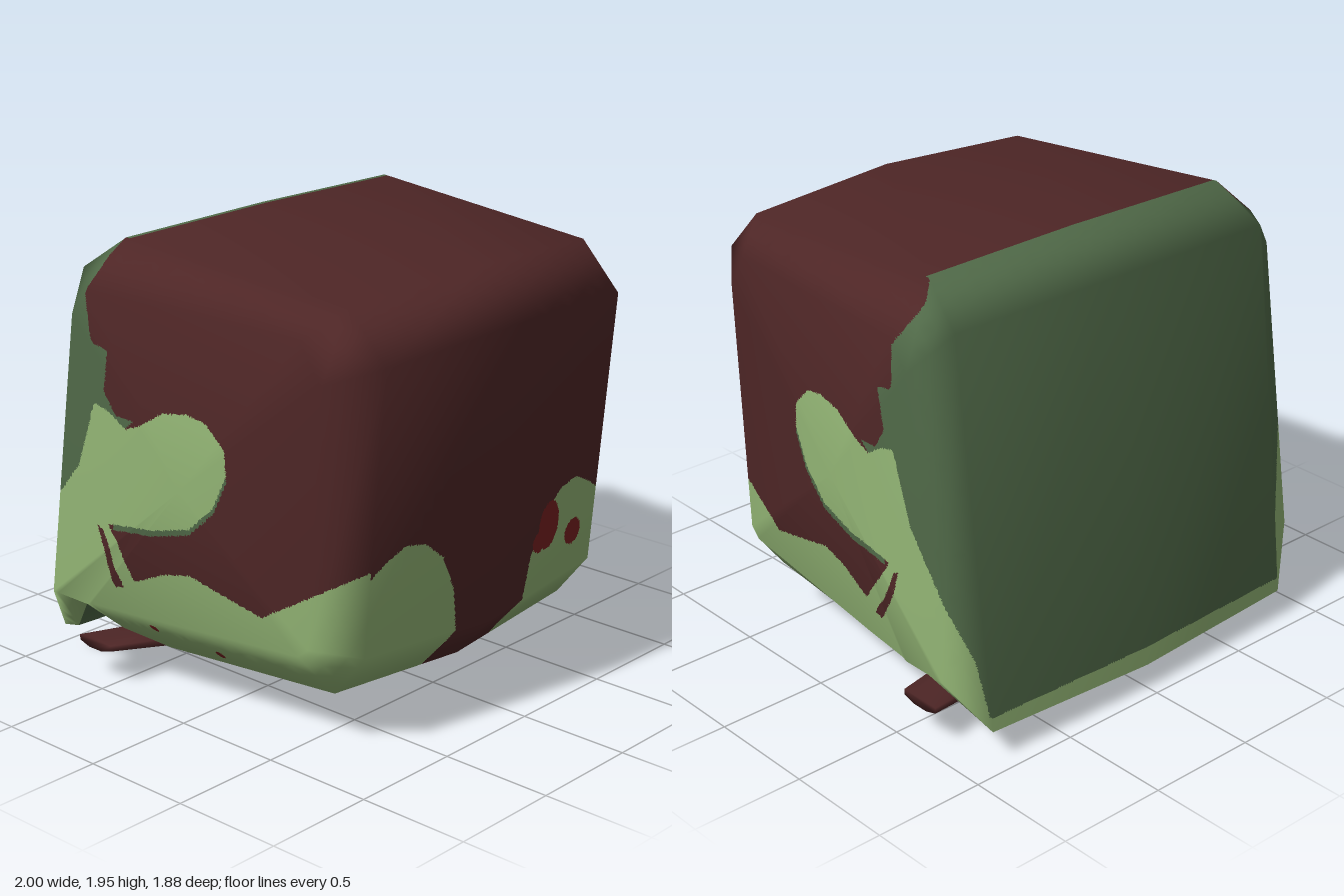
import * as THREE from 'three';

const mat = (name, color) => {
  const m = new THREE.MeshStandardMaterial({ color, side: THREE.DoubleSide });
  m.name = name;
  return m;
};

// Head outline around the x axis. Each row: centre z, y | shoulder z, y, x | side panel z, y
const OUTLINE = [
  [0.82, 0.40, 0.76, 0.44, 0.73, 0.60, 0.48],
  [0.94, 1.70, 0.87, 1.66, 0.73, 0.67, 1.58],
  [0.72, 1.89, 0.68, 1.86, 0.73, 0.57, 1.74],
  [-0.49, 1.96, -0.49, 1.95, 0.79, -0.50, 1.77],
  [-0.72, 1.81, -0.70, 1.80, 0.84, -0.60, 1.65],
  [-0.94, 0.12, -0.91, 0.14, 0.84, -0.79, 0.38],
  [-0.83, 0.12, -0.82, 0.16, 0.84, -0.76, 0.38],
  [-0.72, 0.35, -0.72, 0.36, 0.84, -0.71, 0.38],
  [-0.57, 0.36, -0.57, 0.36, 0.84, -0.57, 0.38],
  [-0.55, 0.20, -0.55, 0.22, 0.82, -0.55, 0.39],
  [-0.30, 0.13, -0.30, 0.19, 0.78, -0.30, 0.40],
  [0.63, 0.19, 0.60, 0.24, 0.73, 0.55, 0.44],
];
const ZONES = ['front', 'front', 'top', 'top', 'back', 'edge', 'roof', 'roof', 'lipWall', 'bottom', 'bottom', 'front'];

// Painted regions of the side, as z, y outlines
const SIDE_SKIN = [
  [-0.45, 0.77], [-0.2, 0.8], [0, 0.85], [0.13, 0.97], [0.2, 1.12], [0.19, 1.23], [0.1, 1.32], [0, 1.34],
  [-0.12, 1.32], [-0.25, 1.24], [-0.33, 1.21], [-0.42, 1.27], [-0.5, 1.29], [-0.6, 1.0], [-0.72, 0.85],
  [-1.2, 0.85], [-1.2, 0], [1.2, 0], [1.2, 0.85], [0.82, 0.83], [0.37, 0.56], [0.2, 0.6], [0, 0.65], [-0.14, 0.62], [-0.3, 0.55],
];
const SIDE_BACK = [
  [-0.47, 2], [-0.53, 1.88], [-0.5, 1.55], [-0.41, 1.53], [-0.44, 1.35], [-0.38, 1.26], [-0.28, 1.25], [-0.33, 1.21],
  [-0.42, 1.27], [-0.5, 1.29], [-0.6, 1.0], [-0.72, 0.85], [-0.85, 0.45], [-0.9, 0.2], [-1.2, 0.2], [-1.2, 2],
];
const SIDE_STRAND = [[-0.51, 0.75], [-0.48, 0.74], [-0.42, 0.6], [-0.36, 0.51], [-0.41, 0.5], [-0.46, 0.6]];
// Skin patch on each half of the front, as x, y
const CHEEK = [[0.23, -1], [0.22, 0.42], [0.25, 0.6], [0.33, 0.77], [0.44, 0.86], [0.55, 0.88], [0.64, 0.84], [0.75, 0.77], [0.9, 0.68], [1.2, 0.65], [1.2, -1]];

const inside = (poly, u, v) => {
  let hit = false;
  for (let i = 0, j = poly.length - 1; i < poly.length; j = i++) {
    const [a, b] = poly[i], [c, d] = poly[j];
    if ((b > v) !== (d > v) && u < ((c - a) * (v - b)) / (d - b) + a) hit = !hit;
  }
  return hit;
};
const oval = (u, v, cu, cv, ru, rv = ru) => ((u - cu) / ru) ** 2 + ((v - cv) / rv) ** 2 < 1;

// Paint rule for a point in a zone of the head
function paint(zone, { x, y, z }) {
  const ax = Math.abs(x);
  if (zone === 'front') {
    if (oval(x, y, 0.37, 0.71, 0.075, 0.11) || (oval(x, y, 0.31, 0.65, 0.05)) || oval(x, y, 0.57, 0.62, 0.06)) return 'red';
    return inside(CHEEK, ax, y) ? 'skin' : 'hair';
  }
  if (zone === 'top') return z < -0.47 ? 'deepGreen' : 'hair';
  if (zone === 'back') return y > 0.2 ? 'deepGreen' : 'skin';
  if (zone === 'roof') return 'deepGreen';
  if (zone === 'lipWall') return 'hair';
  if (zone === 'bottom') {
    if (oval(ax, z, 0.58, -0.17, 0.2, 0.12)) return 'amber';
    if (oval(x, z, -0.43, 0.1, 0.06) || oval(x, z, -0.17, 0.1, 0.05)) return 'red';
    return oval(x, z, 0, 0.63, 0.23, 0.24) ? 'hair' : 'skin';
  }
  if (zone === 'side') {
    if (inside(SIDE_BACK, z, y)) return 'deepGreen';
    if (inside(SIDE_STRAND, z, y)) return 'hair';
    if (oval(z, y, -0.26, 0.33, 0.02) || oval(z, y, 0.04, 0.27, 0.02)) return 'red';
    if (inside(SIDE_SKIN, z, y)) return 'skin';
    return z > -0.42 && y > 0.72 && inside(SIDE_SKIN, z, y + 0.025) ? 'deepGreen' : 'hair';
  }
  return 'skin';
}

// Coarse head: five rings from right to left, closed by side panels
function headCage() {
  const sideX = (z) => 1 - 0.12 * Math.max(0, (z + 0.52) / 1.19);
  const n = OUTLINE.length, pos = [], index = [], zones = [];
  const ring = (fn) => OUTLINE.forEach((r) => pos.push(...fn(r)));
  ring((r) => [-sideX(r[5]), r[6], r[5]]);
  ring((r) => [-r[4], r[3], r[2]]);
  ring((r) => [0, r[1], r[0]]);
  ring((r) => [r[4], r[3], r[2]]);
  ring((r) => [sideX(r[5]), r[6], r[5]]);
  const capX = sideX(-0.05);
  pos.push(-capX, 1, -0.05, capX, 1, -0.05);
  for (let i = 0; i < n; i++) {
    const j = (i + 1) % n;
    for (let k = 0; k < 4; k++) {
      const a = k * n, b = a + n, zone = k === 0 || k === 3 ? 'side' : ZONES[i];
      index.push(a + i, b + i, b + j, a + i, b + j, a + j);
      zones.push(zone, zone);
    }
    index.push(5 * n, i, j, 5 * n + 1, 4 * n + j, 4 * n + i);
    zones.push('side', 'side');
  }
  const g = new THREE.BufferGeometry();
  g.setAttribute('position', new THREE.Float32BufferAttribute(pos, 3));
  g.setIndex(index);
  g.computeVertexNormals();
  return { g, zones };
}

// Split the cage along the paint borders, giving one geometry per colour
function paintedHead() {
  const { g, zones } = headCage(), out = {};
  const { position, normal } = g.attributes;
  const vert = (i) => ({
    p: new THREE.Vector3().fromBufferAttribute(position, i),
    n: new THREE.Vector3().fromBufferAttribute(normal, i),
  });
  const split = (a, b, c, zone) => {
    const ab = a.p.distanceTo(b.p), bc = b.p.distanceTo(c.p), ca = c.p.distanceTo(a.p);
    const longest = Math.max(ab, bc, ca);
    if (bc === longest && bc > ab) return split(b, c, a, zone);
    if (ca === longest && ca > ab) return split(c, a, b, zone);
    const mid = { p: a.p.clone().lerp(b.p, 0.5), n: a.n.clone().lerp(b.n, 0.5) };
    const tone = paint(zone, a.p);
    const mixed = [b, c, mid].some((v) => paint(zone, v.p) !== tone);
    if (longest > 0.09 || (mixed && longest > 0.014)) {
      split(a, mid, c, zone);
      split(mid, b, c, zone);
      return;
    }
    const centre = a.p.clone().add(b.p).add(c.p).divideScalar(3);
    const o = (out[paint(zone, centre)] ??= { pos: [], nor: [] });
    for (const v of [a, b, c]) {
      o.pos.push(v.p.x, v.p.y, v.p.z);
      const m = v.n.clone().normalize();
      o.nor.push(m.x, m.y, m.z);
    }
  };
  zones.forEach((zone, t) => split(...[0, 1, 2].map((k) => vert(g.index.getX(3 * t + k))), zone));
  return out;
}

// Drooping lip: an eight-sided section swept from side to side
function lipGeometry() {
  const xs = [-0.95, -0.7, -0.37, 0, 0.37, 0.7, 0.95], sides = 8, pos = [], index = [];
  for (const x of xs) {
    const t = Math.abs(x) / 0.95;
    const cy = 0.075 + 0.105 * t, cz = -0.455 - 0.135 * t * t;
    const ry = 0.07 - 0.038 * t, rz = 0.155 - 0.05 * t;
    for (let k = 0; k < sides; k++) {
      const a = ((k + 0.5) / sides) * Math.PI * 2;
      pos.push(x, cy + Math.sin(a) * ry, cz + Math.cos(a) * rz);
    }
  }
  for (let s = 0; s < xs.length - 1; s++)
    for (let k = 0; k < sides; k++) {
      const a = s * sides + k, b = s * sides + ((k + 1) % sides);
      index.push(a, a + sides, b + sides, a, b + sides, b);
    }
  const last = (xs.length - 1) * sides;
  for (let k = 1; k < sides - 1; k++) index.push(0, k, k + 1, last, last + k + 1, last + k);
  const g = new THREE.BufferGeometry();
  g.setAttribute('position', new THREE.Float32BufferAttribute(pos, 3));
  g.setIndex(index);
  g.computeVertexNormals();
  return g;
}

export function createModel() {
  const model = new THREE.Group();
  const materials = {
    hair: mat('dark maroon', 0x4e2626),
    skin: mat('light green', 0x92b474),
    deepGreen: mat('deep green', 0x4f6847),
    red: mat('blood red', 0x782020),
    amber: mat('amber', 0x8a6414),
  };
  const names = { hair: 'hair', skin: 'skin', deepGreen: 'backOfHead', red: 'redSpots', amber: 'eyes' };
  const head = new THREE.Group();
  head.name = 'head';
  for (const [tone, { pos, nor }] of Object.entries(paintedHead())) {
    const g = new THREE.BufferGeometry();
    g.setAttribute('position', new THREE.Float32BufferAttribute(pos, 3));
    g.setAttribute('normal', new THREE.Float32BufferAttribute(nor, 3));
    const mesh = new THREE.Mesh(g, materials[tone]);
    mesh.name = names[tone];
    head.add(mesh);
  }
  const lip = new THREE.Mesh(lipGeometry(), materials.hair);
  lip.name = 'lip';
  model.add(head, lip);
  return model;
}
